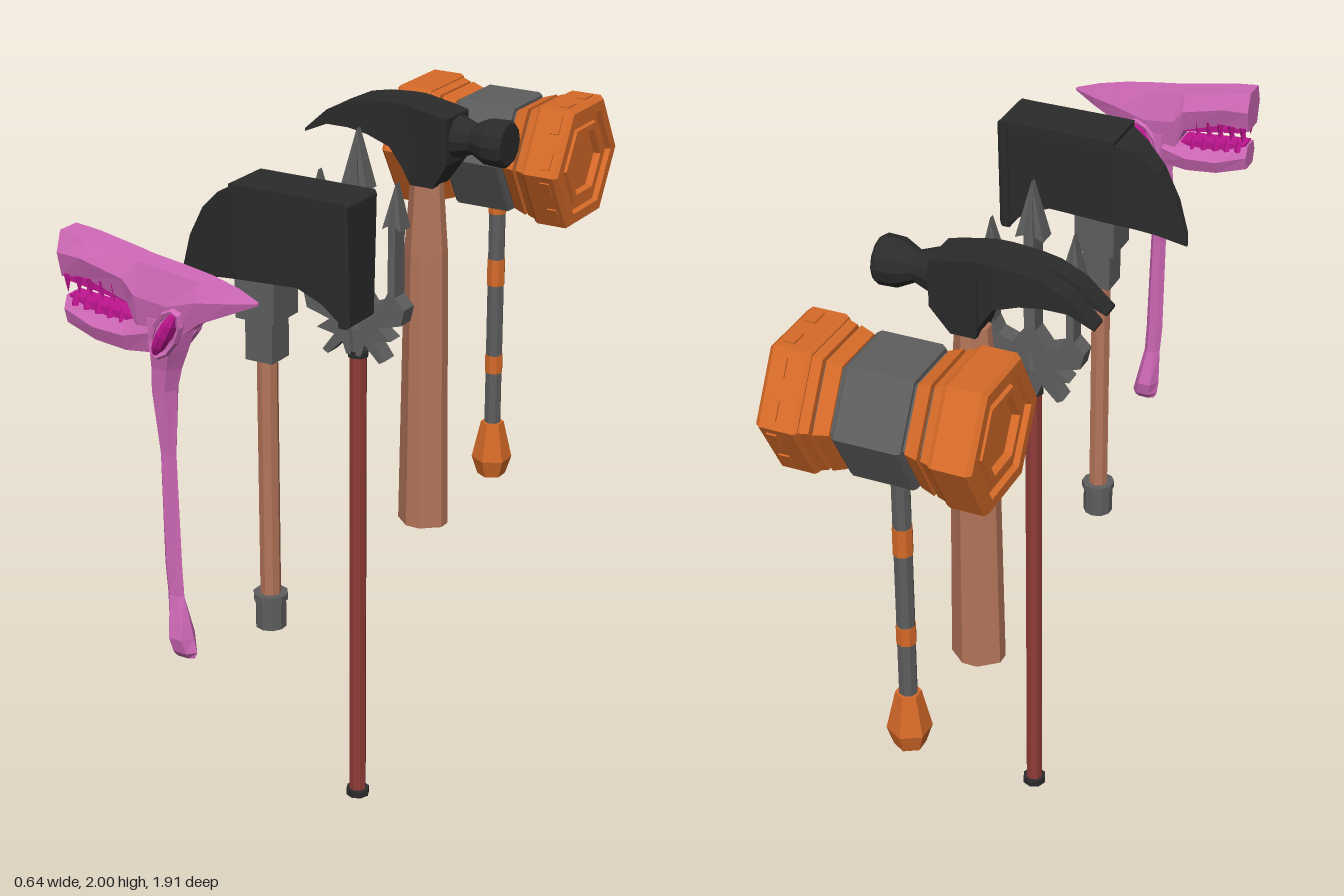
import * as THREE from 'three';

const mat = (name, color) => {
  const m = new THREE.MeshStandardMaterial({ color });
  m.name = name;
  return m;
};

// Faceted normals; turns a closed solid outward if it is inside out.
function flat(geo) {
  const g = geo.index ? geo.toNonIndexed() : geo;
  const p = g.attributes.position;
  const a = new THREE.Vector3(), b = new THREE.Vector3(), c = new THREE.Vector3();
  let volume = 0;
  for (let i = 0; i < p.count; i += 3) {
    a.fromBufferAttribute(p, i); b.fromBufferAttribute(p, i + 1); c.fromBufferAttribute(p, i + 2);
    volume += a.dot(b.clone().cross(c));
  }
  if (volume < 0) {
    for (let i = 0; i < p.count; i += 3) {
      b.fromBufferAttribute(p, i + 1); c.fromBufferAttribute(p, i + 2);
      p.setXYZ(i + 1, c.x, c.y, c.z); p.setXYZ(i + 2, b.x, b.y, b.z);
    }
  }
  g.computeVertexNormals();
  return g;
}

// Skin over rings of [x, y, z] points, capped at both ends.
function loft(rings) {
  const n = rings[0].length, pos = [];
  const tri = (...v) => v.forEach((q) => pos.push(...q));
  for (let i = 0; i < rings.length - 1; i++) {
    for (let j = 0; j < n; j++) {
      const k = (j + 1) % n, A = rings[i], B = rings[i + 1];
      tri(A[j], B[j], B[k]);
      tri(A[j], B[k], A[k]);
    }
  }
  const first = rings[0], last = rings[rings.length - 1];
  for (let j = 1; j < n - 1; j++) {
    tri(first[0], first[j], first[j + 1]);
    tri(last[0], last[j + 1], last[j]);
  }
  const g = new THREE.BufferGeometry();
  g.setAttribute('position', new THREE.Float32BufferAttribute(pos, 3));
  return flat(g);
}

// Sections along x: [x, top, bottom, half width at top, half width at bottom]
const slab = (rows) => loft(rows.map(([x, t, b, ht, hb = ht]) =>
  [[x, t, ht], [x, t, -ht], [x, b, -hb], [x, b, hb]]));
// Six-sided sections along x: [x, top, bottom, half width]
const snout = (rows) => loft(rows.map(([x, t, b, h]) => {
  const m = t * 0.55 + b * 0.45;
  return [[x, t, h * 0.65], [x, t, -h * 0.65], [x, m, -h], [x, b, -h * 0.7], [x, b, h * 0.7], [x, m, h]];
}));
// Turned solid about y from [radius, y] points, bottom to top.
const turned = (pts, sides) => flat(new THREE.LatheGeometry(pts.map(([r, y]) => new THREE.Vector2(r, y)), sides));
const rod = (r, y0, y1, sides, r1 = r) => turned([[0, y0], [r, y0], [r1, y1], [0, y1]], sides);

export function createModel() {
  const orange = mat('orange', 0xd66a28), grey = mat('steel grey', 0x5e5e5e);
  const black = mat('black iron', 0x2b2b2b), wood = mat('wood', 0xb4755a);
  const red = mat('dark red', 0x8f3b36), pink = mat('pink', 0xd069b8), magenta = mat('magenta', 0xbf1590);

  const root = new THREE.Group();
  const tool = (name, x, z) => {
    const g = new THREE.Group();
    g.name = name;
    g.position.set(x, 0, z);
    root.add(g);
    return (part, geo, m) => {
      const mesh = new THREE.Mesh(geo, m);
      mesh.name = part;
      g.add(mesh);
      return mesh;
    };
  };

  // ---- Six-sided war hammer
  let add = tool('warHammer', 0.04, -0.76);
  const onAxis = (pts) => turned(pts, 6).rotateZ(-Math.PI / 2).translate(0, 1.75, 0);
  const ring = (x0, x1, r0, r1 = r0) => onAxis([[0, x0], [r0, x0], [r1, x1], [0, x1]]);
  add('headCore', ring(-0.2, 0.2, 0.158), grey);
  add('headDrum', onAxis([[0, -0.09], [0.17, -0.09], [0.177, -0.08], [0.177, 0.08], [0.17, 0.09], [0, 0.09]]), grey);
  for (const s of [-1, 1]) {
    add('innerBand', flat(ring(0.098, 0.135, 0.165, 0.178).scale(s, 1, 1)), orange);
    add('outerBand', flat(ring(0.145, 0.172, 0.178, 0.186).scale(s, 1, 1)), orange);
    const cap = onAxis([[0, 0.17], [0.19, 0.17], [0.196, 0.18], [0.196, 0.268], [0.185, 0.28], [0.153, 0.28],
      [0.148, 0.265], [0.122, 0.265], [0.118, 0.275], [0.097, 0.275], [0.093, 0.255], [0, 0.255]]);
    add('strikingCap', flat(cap.scale(s, 1, 1)), orange);
  }
  for (let i = 0; i < 6; i++) {
    for (const z of [-0.052, 0.052]) {
      const g = new THREE.BoxGeometry(0.028, 0.008, 0.05).translate(0.24, 0.17, z);
      add('capPlate', flat(g.rotateX(i * Math.PI / 3).translate(0, 1.75, 0)), orange);
    }
  }
  add('handle', rod(0.025, 0.89, 1.62, 8), grey);
  for (const [y0, y1] of [[1.555, 1.6], [1.335, 1.415], [1.06, 1.115]]) add('handleBand', rod(0.027, y0, y1, 8), orange);
  add('pommel', turned([[0, 0.73], [0.042, 0.73], [0.06, 0.785], [0.034, 0.9], [0, 0.9]], 6), orange);

  // ---- Claw hammer
  add = tool('clawHammer', 0, -0.35);
  add('head', slab([[-0.12, 1.98, 1.885, 0.065], [-0.05, 1.985, 1.86, 0.065], [-0.01, 1.985, 1.8, 0.065, 0.058],
    [0.005, 1.983, 1.755, 0.065, 0.045], [0.075, 1.97, 1.755, 0.065, 0.045], [0.125, 1.96, 1.83, 0.062, 0.06]]), black);
  for (const s of [-1, 1]) {
    const tine = [[-0.12, 1.98, 1.885, 0], [-0.18, 1.968, 1.895, 0.004], [-0.25, 1.935, 1.895, 0.009], [-0.32, 1.872, 1.864, 0.014]];
    add('claw', loft(tine.map(([x, t, b, inner]) =>
      [[x, t, s * 0.065], [x, t, s * inner], [x, b, s * inner], [x, b, s * 0.065]])), black);
  }
  add('hammerFace', turned([[0, 0.1], [0.06, 0.13], [0.042, 0.18], [0.064, 0.225], [0.066, 0.275], [0.058, 0.285], [0, 0.285]], 12)
    .rotateZ(-Math.PI / 2).translate(0, 1.9, 0), black);
  const grip = (y, hx, hz) => {
    const c = 0.3;
    return [[hx, c * hz], [c * hx, hz], [-c * hx, hz], [-hx, c * hz], [-hx, -c * hz], [-c * hx, -hz], [c * hx, -hz], [hx, -c * hz]]
      .map(([x, z]) => [x + 0.033, y, z]);
  };
  add('handle', loft([grip(0.735, 0.072, 0.06), grip(1.56, 0.06, 0.056), grip(1.77, 0.045, 0.043)]), wood);

  // ---- Trident
  add = tool('trident', 0.028, 0.01);
  add('shaft', rod(0.024, 0.015, 1.39, 8), red);
  add('footCap', rod(0.034, 0, 0.02, 8), black);
  add('shaftCollar', rod(0.029, 1.365, 1.385, 8), black);
  const half = [[0.04, 1.84], [0.016, 1.85], [0.016, 1.57], [0.05, 1.525], [0.09, 1.54], [0.105, 1.57],
    [0.105, 1.755], [0.087, 1.745], [0.118, 1.87], [0.143, 1.745], [0.126, 1.755], [0.126, 1.56], [0.156, 1.53],
    [0.146, 1.485], [0.075, 1.465], [0.115, 1.435], [0.06, 1.425], [0.097, 1.375], [0.08, 1.365], [0.035, 1.41], [0.022, 1.375]];
  const outline = [[0, 2], ...half, ...half.slice().reverse().map(([x, y]) => [-x, y])];
  const fork = new THREE.ExtrudeGeometry(new THREE.Shape(outline.map(([x, y]) => new THREE.Vector2(x, y))),
    { depth: 0.052, bevelEnabled: false }).translate(0, 0, -0.026);
  // thin the blade tips
  const fp = fork.attributes.position;
  for (let i = 0; i < fp.count; i++) if (fp.getY(i) > 1.86) fp.setZ(i, fp.getZ(i) * 0.35);
  add('fork', flat(fork), grey);
  add('forkSocket', turned([[0, 1.375], [0.028, 1.385], [0.033, 1.45], [0.02, 1.56], [0, 1.58]], 8), grey);

  // ---- Axe with a flat poll
  add = tool('axe', 0.005, 0.425);
  add('axeHead', slab([[-0.25, 1.7, 1.66, 0.003], [-0.22, 1.79, 1.672, 0.014], [-0.17, 1.875, 1.69, 0.028],
    [-0.11, 1.93, 1.705, 0.046], [-0.055, 1.955, 1.715, 0.07, 0.062], [0.13, 1.955, 1.725, 0.072, 0.063],
    [0.2, 1.955, 1.695, 0.072, 0.062], [0.255, 1.955, 1.65, 0.072, 0.06]]), black);
  add('headRidge', slab([[-0.06, 1.966, 1.945, 0.074], [0.26, 1.966, 1.945, 0.074]]), black);
  add('poll', slab([[0.25, 1.966, 1.642, 0.075, 0.064], [0.272, 1.966, 1.642, 0.075, 0.064], [0.28, 1.958, 1.65, 0.07, 0.058]]), black);
  const block = (w, y0, y1) => flat(new THREE.BoxGeometry(w, y1 - y0, w).translate(0, (y0 + y1) / 2, 0));
  add('upperSocket', block(0.115, 1.61, 1.74), grey);
  add('lowerSocket', block(0.08, 1.495, 1.615), grey);
  add('handle', rod(0.028, 0.8, 1.5, 8), wood);
  add('pommel', rod(0.042, 0.73, 0.815, 10), grey);
  add('pommelRing', rod(0.047, 0.81, 0.828, 10), grey);

  // ---- Shark-headed club
  add = tool('sharkClub', 0, 0.88);
  add('upperHead', snout([[-0.262, 1.93, 1.815, 0.05], [-0.19, 1.92, 1.825, 0.056], [-0.07, 1.898, 1.785, 0.054],
    [-0.04, 1.892, 1.71, 0.052], [0.05, 1.88, 1.7, 0.05], [0.13, 1.868, 1.765, 0.047], [0.21, 1.853, 1.8, 0.03], [0.275, 1.836, 1.828, 0.004]]), pink);
  add('lowerJaw', snout([[-0.258, 1.765, 1.695, 0.036], [-0.17, 1.735, 1.668, 0.045], [-0.08, 1.735, 1.66, 0.048], [0.01, 1.77, 1.67, 0.046]]), pink);
  add('upperGum', slab([[-0.25, 1.825, 1.808, 0.034], [-0.06, 1.805, 1.78, 0.036]]), magenta);
  add('lowerGum', slab([[-0.25, 1.768, 1.75, 0.024], [-0.06, 1.748, 1.725, 0.03]]), magenta);
  for (const s of [-1, 1]) {
    for (let i = 0; i < 5; i++) {
      const x = -0.245 + i * 0.034;
      add('upperTooth', flat(new THREE.ConeGeometry(0.013, 0.05, 4).rotateX(Math.PI).translate(x, 1.8, s * 0.034)), magenta);
      add('lowerTooth', flat(new THREE.ConeGeometry(0.012, 0.04, 4).translate(x + 0.015, 1.765 - i * 0.004, s * 0.027)), magenta);
    }
    const place = (g) => flat(g.rotateZ(-0.5).translate(0.045, 1.73, s * 0.045));
    add('gill', place(new THREE.SphereGeometry(1, 8, 6).scale(0.02, 0.07, 0.032)), magenta);
    add('gillRim', place(new THREE.TorusGeometry(0.065, 0.013, 5, 10).scale(0.5, 1, 1)), pink);
  }
  // neck, grip and tail: [y, centre x, half x, half z]
  const neck = [[1.76, 0.03, 0.075, 0.05], [1.68, 0.025, 0.052, 0.05], [1.63, 0.015, 0.042, 0.038], [1.57, 0.006, 0.036, 0.031],
    [1.4, 0.01, 0.023, 0.016], [1.1, 0.015, 0.025, 0.014], [1.02, 0.02, 0.024, 0.013], [0.91, 0.033, 0.036, 0.032], [0.87, 0.04, 0.038, 0.022], [0.852, 0.04, 0.03, 0.008]];
  add('gripAndTail', loft(neck.map(([y, cx, hx, hz]) =>
    Array.from({ length: 6 }, (_, i) => [cx + hx * Math.cos(i * Math.PI / 3), y, hz * Math.sin(i * Math.PI / 3) * 1.12]))), pink);

  return root;
}
